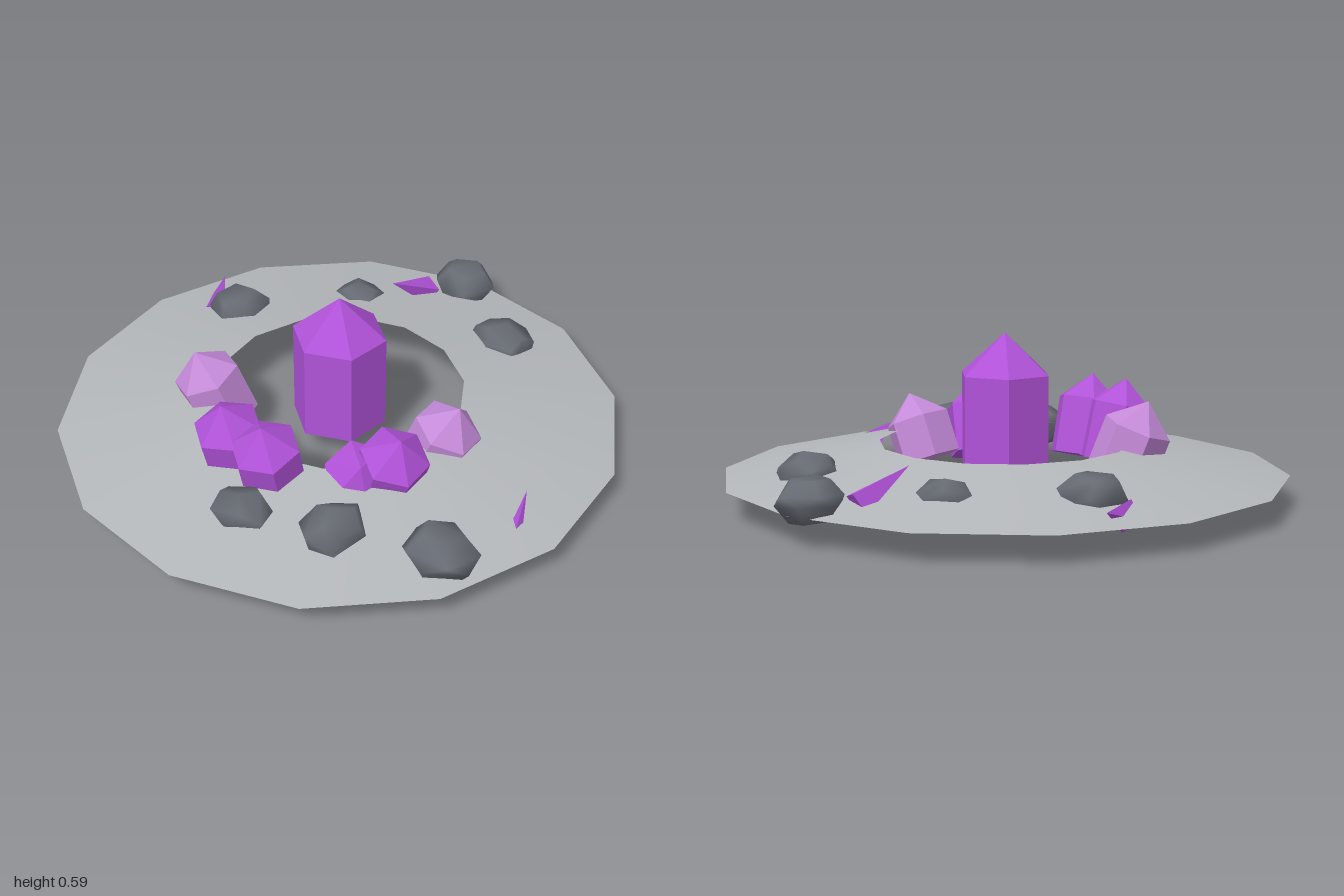
import * as THREE from 'three';
import { mergeVertices, mergeGeometries } from 'three/addons/utils/BufferGeometryUtils.js';

const UP = new THREE.Vector3(0, 1, 0);

function material(name, color, double) {
  const m = new THREE.MeshStandardMaterial({ color });
  m.name = name;
  if (double) m.side = THREE.DoubleSide;
  return m;
}

// Give every face its own normal
function faceted(geometry) {
  const g = geometry.index ? geometry.toNonIndexed() : geometry;
  g.computeVertexNormals();
  return g;
}

// Stand a mesh at "from" with its y axis pointing to "to"
function aim(mesh, from, to, yaw = 0) {
  const dir = to.clone().sub(from).normalize();
  mesh.position.copy(from);
  mesh.quaternion.setFromUnitVectors(UP, dir);
  mesh.rotateY(yaw);
}

// Hexagonal prism with a pointed cap
function crystal(name, mat, r, tip, base, apex, yaw) {
  const a = new THREE.Vector3(...base), b = new THREE.Vector3(...apex);
  const body = a.distanceTo(b) - tip;
  const prism = new THREE.CylinderGeometry(r, r, body, 6).translate(0, body / 2, 0);
  const cap = new THREE.ConeGeometry(r, tip, 6, 1, true).translate(0, body + tip / 2, 0);
  const mesh = new THREE.Mesh(faceted(mergeGeometries([prism, cap])), mat);
  mesh.name = name;
  aim(mesh, a, b, yaw);
  return mesh;
}

// Thin four-sided splinter
function shard(mat, r, base, apex) {
  const a = new THREE.Vector3(...base), b = new THREE.Vector3(...apex);
  const len = a.distanceTo(b);
  const mesh = new THREE.Mesh(faceted(new THREE.ConeGeometry(r, len, 4).translate(0, len / 2, 0)), mat);
  mesh.name = 'shard';
  aim(mesh, a, b, 0.4);
  return mesh;
}

// Squashed, slightly uneven stone with smooth shading
function rock(mat, x, y, z, rx, ry, rz, seed) {
  let g = new THREE.DodecahedronGeometry(1);
  g.deleteAttribute('normal');
  g.deleteAttribute('uv');
  g = mergeVertices(g, 1e-3);
  g.rotateX(seed * 0.7).rotateY(seed * 1.3);
  const p = g.attributes.position;
  for (let i = 0; i < p.count; i++) {
    const k = 1 + 0.07 * Math.sin(i * 12.9 + seed * 7.3);
    p.setXYZ(i, p.getX(i) * k, p.getY(i) * k, p.getZ(i) * k);
  }
  g.scale(rx, ry, rz);
  g.computeVertexNormals();
  const mesh = new THREE.Mesh(g, mat);
  mesh.position.set(x, y, z);
  mesh.name = 'rock';
  return mesh;
}

export function createModel() {
  const model = new THREE.Group();
  model.name = 'crystalRing';
  const ground = material('light grey ground', 0xb4b7ba, true);
  const stone = material('dark grey stone', 0x666a72);
  const purple = material('purple crystal', 0xb052d8);
  const pale = material('pale purple crystal', 0xc48ad8);

  // Sloping fourteen-sided ring, open in the middle
  const ring = new THREE.Mesh(new THREE.LatheGeometry(
    [new THREE.Vector2(1, 0.065), new THREE.Vector2(0.445, 0.175)], 14, Math.PI / 2), ground);
  ring.name = 'groundRing';
  ring.position.z = 0.01;
  model.add(ring);

  // Tall centre crystal
  model.add(crystal('centreCrystal', purple, 0.168, 0.145, [0, 0.065, 0.01], [0, 0.56, 0.01], 0));

  // Leaning crystals on the inner edge: material, base, apex, yaw
  const small = [
    [purple, [-0.03, 0.06, 0.455], [-0.03, 0.36, 0.53], 0],
    [purple, [0.125, 0.06, 0.44], [0.15, 0.36, 0.515], 0],
    [purple, [0.38, 0.06, 0.165], [0.485, 0.32, 0.2], 0.15],
    [purple, [0.3, 0.04, 0.22], [0.42, 0.24, 0.32], 0],
    [pale, [0.39, 0.06, -0.06], [0.48, 0.295, -0.09], 0.2],
    [pale, [-0.29, 0.06, 0.29], [-0.355, 0.33, 0.37], 0.2],
  ];
  for (const [mat, base, apex, yaw] of small)
    model.add(crystal('edgeCrystal', mat, 0.12, 0.1, base, apex, yaw));

  // Splinters lying around: radius, base, apex
  const shards = [
    [0.055, [0.77, 0.052, -0.1], [0.885, 0.115, 0.07]],
    [0.055, [-0.79, 0.06, -0.07], [-0.9, 0.11, -0.235]],
    [0.055, [-0.295, 0.09, -0.76], [-0.31, 0.2, -0.575]],
    [0.04, [-0.27, 0.1, 0.37], [-0.34, 0.02, 0.34]],
  ];
  for (const s of shards) model.add(shard(purple, ...s));

  // Scattered rocks: x, y, z and half sizes
  const rocks = [
    [-0.225, 0.11, -0.885, 0.122, 0.085, 0.115],
    [0.15, 0.11, -0.685, 0.13, 0.085, 0.118],
    [-0.43, 0.1, -0.51, 0.105, 0.075, 0.095],
    [-0.68, 0.11, -0.125, 0.122, 0.085, 0.118],
    [0.78, 0.11, 0.315, 0.132, 0.088, 0.122],
    [0.48, 0.12, 0.505, 0.108, 0.09, 0.125],
    [0.2, 0.105, 0.64, 0.12, 0.08, 0.1],
  ];
  rocks.forEach((r, i) => model.add(rock(stone, ...r, i + 1)));

  return model;
}
